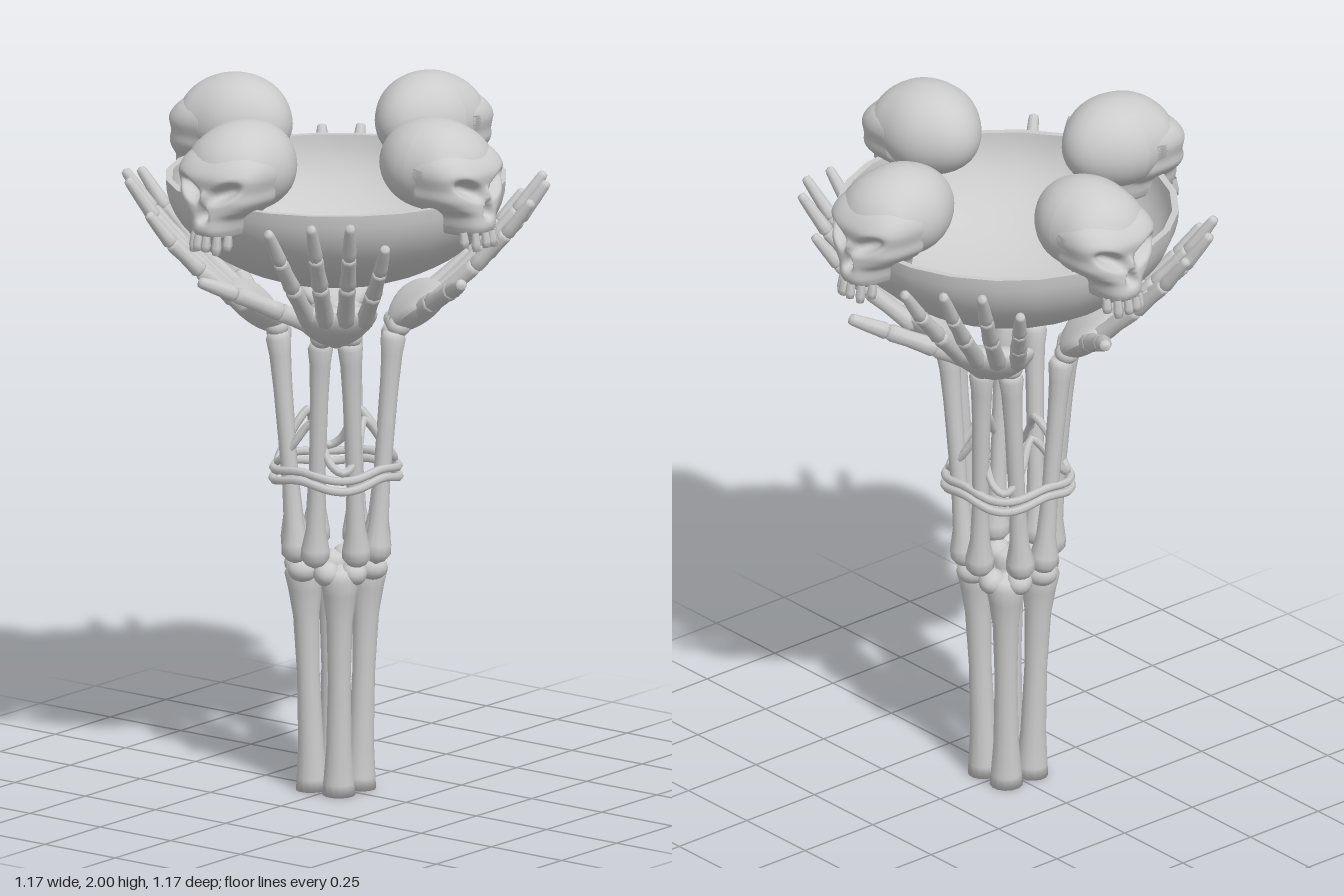
import * as THREE from 'three';
import { ParametricGeometry } from 'three/addons/geometries/ParametricGeometry.js';

const material = new THREE.MeshStandardMaterial({ color: 0xcccccc, side: THREE.DoubleSide });
const V = (x, y, z) => new THREE.Vector3(x, y, z);
const UP = V(0, 1, 0);

function add(parent, geometry, name) {
  const mesh = new THREE.Mesh(geometry, material);
  mesh.name = name;
  parent.add(mesh);
  return mesh;
}

// Turned bone between two points; profile is [fraction along, radius] pairs
function bone(parent, name, a, b, profile, sides = 12) {
  const length = a.distanceTo(b);
  const pts = profile.map(([f, r]) => new THREE.Vector2(r, f * length));
  const mesh = add(parent, new THREE.LatheGeometry(pts, sides), name);
  mesh.position.copy(a);
  mesh.quaternion.setFromUnitVectors(UP, b.clone().sub(a).normalize());
}

function ball(parent, name, p, rx, ry = rx, rz = rx) {
  const mesh = add(parent, new THREE.SphereGeometry(1, 14, 10), name);
  mesh.position.copy(p);
  mesh.scale.set(rx, ry, rz);
}

// Finger: phalanges with slightly swollen joints along a path, blunt at the tip
function finger(parent, name, path, r) {
  const group = new THREE.Group();
  group.name = name;
  const last = path.length - 2;
  for (let i = 0; i <= last; i++) {
    const k = r * (1 - 0.12 * i);
    const tip = i === last ? 0.72 : 0.92;
    bone(group, 'phalanx', path[i], path[i + 1], [[-0.1, 0], [-0.07, k * 0.7], [0.03, k * 1.04],
      [0.2, k * 0.96], [0.55, k * 0.86], [0.88, k * tip], [0.97, k * tip * 0.85], [1.01, 0]], 8);
  }
  parent.add(group);
}

// Arm and hand, built with +z pointing outward from the middle
function makeArm() {
  const arm = new THREE.Group();
  arm.name = 'arm';

  // Upper arm with its elbow knuckles
  bone(arm, 'upperArm', V(0, 0, 0.066), V(0, 0.67, 0.09), [[0, 0], [0, 0.047], [0.05, 0.044], [0.2, 0.036],
    [0.5, 0.032], [0.75, 0.037], [0.87, 0.048], [0.94, 0.057], [0.98, 0.045], [1, 0]], 14);
  for (const s of [-1, 1]) ball(arm, 'elbowKnuckle', V(s * 0.038, 0.645, 0.098), 0.038, 0.036, 0.044);

  // Two forearm bones, spread at the elbow and close together at the wrist
  const shaft = [[-0.02, 0], [0, 0.026], [0.03, 0.041], [0.07, 0.04], [0.16, 0.028], [0.35, 0.023],
    [0.75, 0.026], [0.9, 0.03], [0.97, 0.036], [1, 0.028], [1.01, 0]];
  bone(arm, 'forearmBone', V(-0.072, 0.675, 0.104), V(-0.062, 1.33, 0.155), shaft);
  bone(arm, 'forearmBone', V(0.045, 0.675, 0.116), V(0.02, 1.33, 0.166), shaft);

  // Wrist and cupped palm
  for (const t of [-0.06, -0.02, 0.02]) ball(arm, 'wristBone', V(t, 1.345, 0.17), 0.034, 0.03, 0.034);
  const palm = new THREE.SphereGeometry(1, 24, 16);
  const pos = palm.attributes.position;
  for (let i = 0; i < pos.count; i++) {
    const x = pos.getX(i), y = pos.getY(i), z = pos.getZ(i);
    const w = 0.118 + 0.026 * y;
    pos.setXYZ(i, x * w - 0.01 * y, y * 0.1, z * 0.045 - 0.03 * x * x);
  }
  palm.computeVertexNormals();
  const palmMesh = add(arm, palm, 'palm');
  palmMesh.position.set(-0.028, 1.39, 0.226);
  palmMesh.rotation.x = 0.92;

  // Four fingers: base, slight bend, tip
  const fingers = [
    [V(-0.105, 1.415, 0.252), V(-0.255, 1.745, 0.523)],
    [V(-0.062, 1.42, 0.28), V(-0.14, 1.77, 0.58)],
    [V(-0.008, 1.42, 0.283), V(-0.03, 1.77, 0.585)],
    [V(0.048, 1.415, 0.265), V(0.075, 1.695, 0.54)],
  ];
  for (const [a, b] of fingers) {
    const at = (f, bulge) => a.clone().lerp(b, f).add(V(0, -bulge, bulge));
    finger(arm, 'finger', [a, at(0.42, 0.01), at(0.72, 0.01), b], 0.027);
  }
  finger(arm, 'thumb', [V(-0.08, 1.39, 0.215), V(-0.19, 1.445, 0.25), V(-0.32, 1.51, 0.29), V(-0.424, 1.553, 0.305)], 0.031);
  return arm;
}

const smooth = THREE.MathUtils.smoothstep;
const dent = (x, y, r, s) => Math.exp(-Math.pow((x * x) / (r * r) + (y * y) / (s * s), 1.5));

// Face outline by height: half width, y, front z
const faceCurve = new THREE.CatmullRomCurve3([V(0.01, 1.688, 0.48), V(0.055, 1.693, 0.555), V(0.067, 1.715, 0.572),
  V(0.078, 1.75, 0.57), V(0.108, 1.775, 0.567), V(0.128, 1.8, 0.564), V(0.132, 1.83, 0.56), V(0.14, 1.868, 0.562),
  V(0.132, 1.9, 0.543), V(0.09, 1.945, 0.49)]);

function facePoint(u, v, target) {
  const a = (u * 2 - 1) * Math.PI;
  const { x: w, y, z: front } = faceCurve.getPoint(v);
  const s = Math.sin(a), c = Math.cos(a), back = 0.41;
  const x = w * Math.sign(s) * Math.pow(Math.abs(s), 0.75);
  let z = back + (c > 0 ? (front - back) * Math.pow(c, 0.55) : c * 0.05);
  if (c > 0) {
    const side = Math.abs(x) - 0.06;
    z -= 0.042 * dent(side, y - 1.83 - side * 0.45, 0.04, 0.022);
    z -= 0.035 * dent(x, y - 1.765, 0.008 + Math.max(0, 1.79 - y) * 0.25, 0.022);
    z += 0.012 * dent(x, y - 1.808, 0.018, 0.02);
  }
  target.set(x, y, z);
}

// Skull facing +z, resting on the rim
function makeSkull() {
  const skull = new THREE.Group();
  skull.name = 'skull';

  // Cranium: tapered at the rear, square at the brow, cut back behind the face
  const dome = new THREE.SphereGeometry(1, 36, 26);
  const p = dome.attributes.position;
  for (let i = 0; i < p.count; i++) {
    const x = p.getX(i), y = p.getY(i), z = p.getZ(i);
    const brow = 1 + 0.16 * smooth(z, 0.2, 0.75);
    const rear = 1 - 0.1 * smooth(-z, 0.2, 0.9);
    const tuck = z > 0 ? 1 - 0.35 * smooth(-y, -0.1, 0.35) : 1;
    p.setXYZ(i, x * 0.142 * brow * rear, y * (y > 0 ? 0.135 : 0.125), z * 0.17 * tuck);
  }
  dome.computeVertexNormals();
  add(skull, dome, 'cranium').position.set(0, 1.865, 0.375);
  add(skull, new ParametricGeometry(facePoint, 96, 64), 'face');

  // Upper teeth along the curve of the jaw
  for (let i = 0; i < 6; i++) {
    const a = (i - 2.5) * 0.46;
    const x = 0.062 * Math.sin(a), z = 0.49 + 0.078 * Math.cos(a);
    const drop = i % 3 === 1 ? 0.056 : 0.046;
    bone(skull, 'tooth', V(x, 1.705, z), V(x, 1.705 - drop, z + 0.006),
      [[0, 0.011], [0.6, 0.0145], [0.95, 0.011], [1, 0]], 6);
  }
  skull.position.x = -0.03;
  return skull;
}

export function createModel() {
  const model = new THREE.Group();
  model.name = 'boneBowlStand';

  // Thin-walled bowl
  const profile = [];
  for (let i = 0; i <= 14; i++) {
    const a = (i / 14) * Math.PI / 2;
    profile.push(new THREE.Vector2(0.48 * Math.sin(a), 1.772 - 0.305 * Math.cos(a)));
  }
  const inner = profile.map((q) => new THREE.Vector2(q.x * 0.96, 1.772 - (1.772 - q.y) * 0.94)).reverse();
  add(model, new THREE.LatheGeometry(profile, 24), 'bowlOuter');
  add(model, new THREE.LatheGeometry(inner, 24), 'bowlInner');
  add(model, new THREE.LatheGeometry([profile[14], inner[0]], 24), 'bowlRim');

  // Four arms on the diagonals and four skulls on the axes
  for (let k = 0; k < 4; k++) {
    const arm = makeArm();
    arm.rotation.y = Math.PI / 4 + k * Math.PI / 2;
    const holder = new THREE.Group();
    holder.name = 'skullSeat';
    holder.add(makeSkull());
    holder.rotation.y = k * Math.PI / 2;
    model.add(arm, holder);
  }

  // Cords bound around the forearms: height and radius at the arms, then between them
  for (const [y0, y1, r0, r1] of [[0.9, 0.92, 0.178, 0.162], [0.93, 0.945, 0.176, 0.158], [0.95, 1.08, 0.165, 0.1]]) {
    const pts = [];
    for (let i = 0; i < 32; i++) {
      const a = (i / 32) * Math.PI * 2;
      const m = 0.5 + 0.5 * Math.cos(4 * a);
      const r = r0 + (r1 - r0) * m;
      pts.push(V(r * Math.sin(a), y0 + (y1 - y0) * m, r * Math.cos(a)));
    }
    add(model, new THREE.TubeGeometry(new THREE.CatmullRomCurve3(pts, true), 96, 0.012, 6, true), 'cord');
  }
  return model;
}
